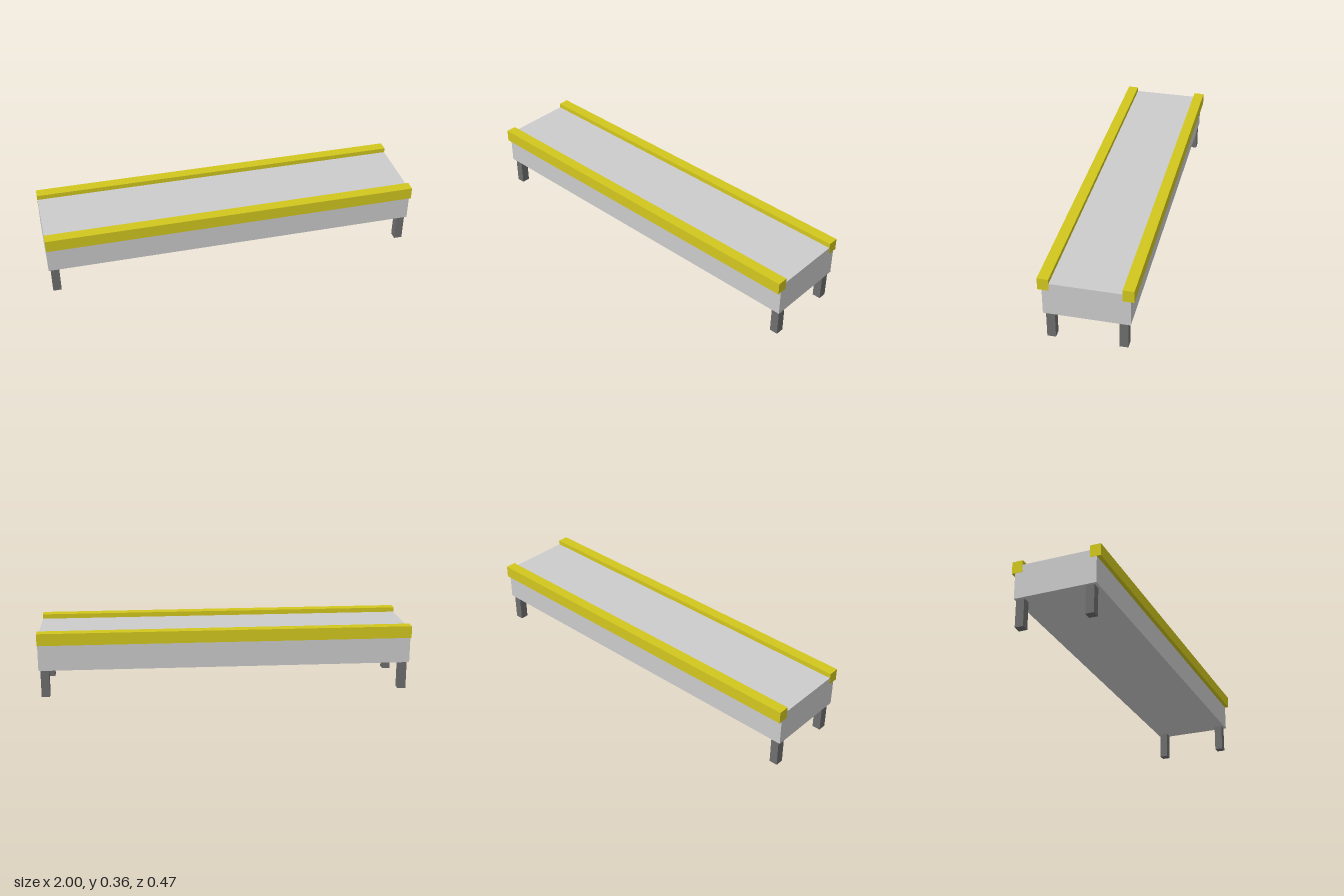
import * as THREE from 'three';

const material = (color) => new THREE.MeshStandardMaterial({ color });

// Box given by its extents along each axis
function box(name, [x0, x1], [y0, y1], [z0, z1], mat) {
  const mesh = new THREE.Mesh(new THREE.BoxGeometry(x1 - x0, y1 - y0, z1 - z0), mat);
  mesh.position.set((x0 + x1) / 2, (y0 + y1) / 2, (z0 + z1) / 2);
  mesh.name = name;
  return mesh;
}

export function createModel() {
  const group = new THREE.Group();
  group.name = 'railedBench';
  const bodyMat = material(0xcccccc);
  const railMat = material(0xd2c71e);
  const legMat = material(0x6e6e6e);

  // Long deck, a hair shorter than the rails so the end faces do not coincide
  group.add(box('deck', [-0.999, 0.999], [0.15, 0.332], [-0.219, 0.216], bodyMat));

  // Side rails gripping the upper edges of the deck
  group.add(box('frontRail', [-1, 1], [0.292, 0.357], [0.18, 0.237], railMat));
  group.add(box('backRail', [-1, 1], [0.292, 0.357], [-0.237, -0.18], railMat));

  // Four square legs, slightly uneven in placement
  const legs = [
    ['frontLeftLeg', 0.968, 0.181],
    ['frontRightLeg', -0.965, 0.179],
    ['backLeftLeg', 0.968, -0.183],
    ['backRightLeg', -0.965, -0.19],
  ];
  const h = 0.0222;
  for (const [name, x, z] of legs) {
    group.add(box(name, [x - h, x + h], [0, 0.16], [z - h, z + h], legMat));
  }
  return group;
}
